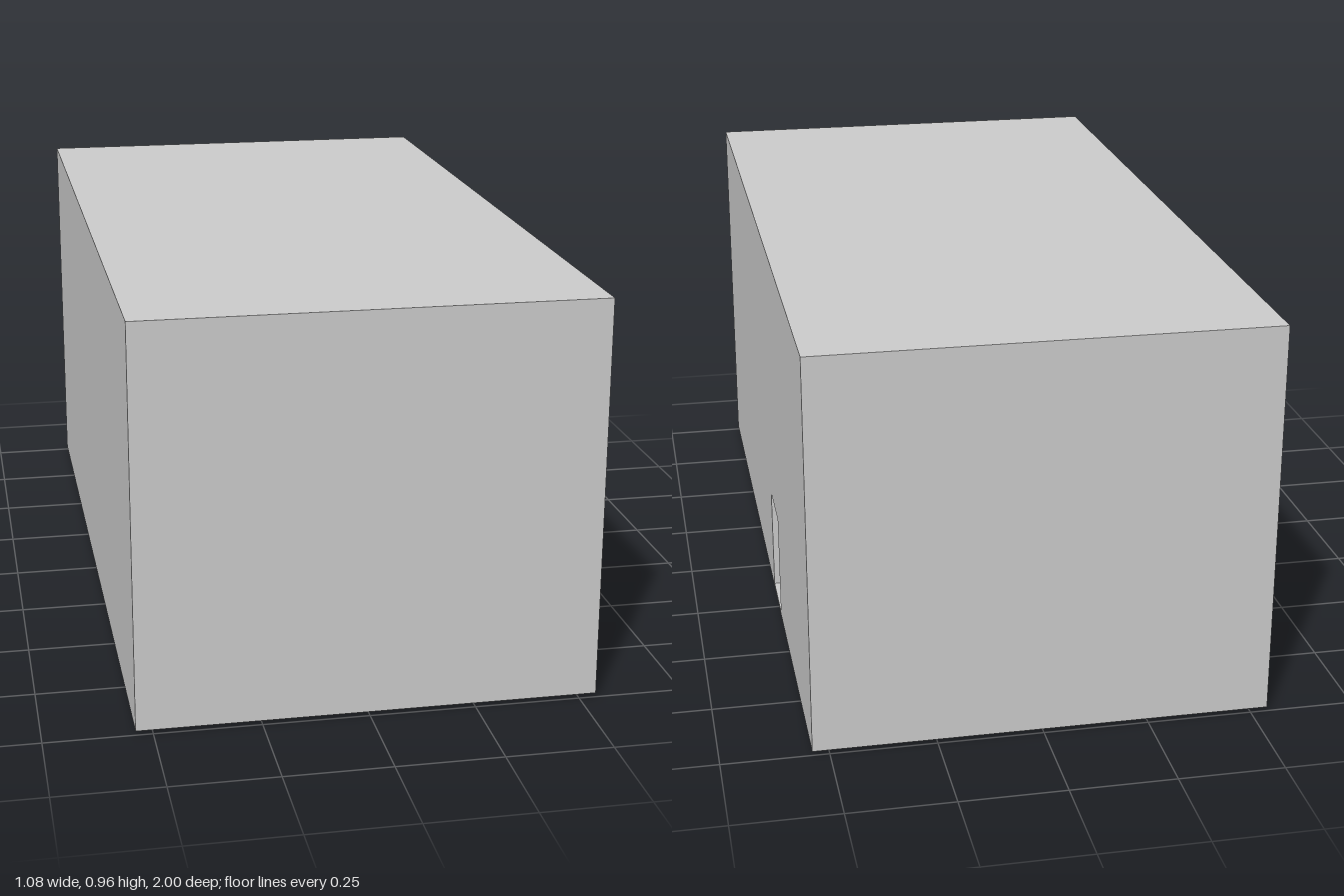
import * as THREE from 'three';

const W = 1.08, D = 2, T = 0.04;        // footprint and outer wall thickness
const BASE = 0.01, FLOOR = 0.018, ROOF = 0.955, TOP = 0.965;
const SLABS = [0.33, 0.645];            // undersides of the upper floors

export function createModel() {
  const group = new THREE.Group();
  const mat = new THREE.MeshStandardMaterial({ color: 0xcccccc });

  const add = (name, geo) => {
    const mesh = new THREE.Mesh(geo, mat);
    mesh.name = name;
    group.add(mesh);
    return mesh;
  };
  // Box given by its minimum and maximum on each axis
  const box = (name, x0, x1, y0, y1, z0, z1) => {
    const geo = new THREE.BoxGeometry(x1 - x0, y1 - y0, z1 - z0);
    geo.translate((x0 + x1) / 2, (y0 + y1) / 2, (z0 + z1) / 2);
    return add(name, geo);
  };

  const hx = W / 2, hz = D / 2;

  // Ground slab and roof slab
  box('groundSlab', -hx, hx, BASE, FLOOR, -hz, hz);
  box('roofSlab', -hx, hx, ROOF, TOP, -hz, hz);

  // Closed outer walls
  box('frontWall', -hx, hx, FLOOR, ROOF, hz - T, hz);
  box('backWall', -hx, hx, FLOOR, ROOF, -hz, -hz + T);
  box('blankSideWall', -hx, -hx + T, FLOOR, ROOF, -hz + T, hz - T);

  // Side wall with the entrance; shape x runs along -z
  const r = 0.01, d0 = 0.15, d1 = 0.315, dTop = 0.28, e = hz - T;
  const wall = new THREE.Shape();
  wall.moveTo(-e, FLOOR);
  wall.lineTo(d0, FLOOR);
  wall.lineTo(d0, dTop - r);
  wall.quadraticCurveTo(d0, dTop, d0 + r, dTop);
  wall.lineTo(d1 - r, dTop);
  wall.quadraticCurveTo(d1, dTop, d1, dTop - r);
  wall.lineTo(d1, FLOOR);
  wall.lineTo(e, FLOOR);
  wall.lineTo(e, ROOF);
  wall.lineTo(-e, ROOF);
  const wallGeo = new THREE.ExtrudeGeometry(wall, { depth: T, bevelEnabled: false, curveSegments: 5 });
  wallGeo.rotateY(Math.PI / 2);
  wallGeo.translate(hx - T, 0, 0);
  add('entranceWall', wallGeo);

  // Upper floors inside the shell
  for (const y of SLABS) box('upperFloor', -hx + T, hx - T, y, y + 0.012, -hz + T, hz - T);

  // Partitions for each storey; the lowest ones reach through the ground slab
  const px = 0.528, t = 0.01;
  const levels = [[0, SLABS[0]], [SLABS[0] + 0.012, SLABS[1]], [SLABS[1] + 0.012, ROOF]];
  for (const [y0, y1] of levels) {
    for (const s of [-1, 1]) {
      const z = s * 0.45;
      box('crossPartition', -px, px, y0, y1, z - t, z + t);
      const near = s * (0.45 + t), far = s * 0.93;
      box('lengthPartition', -t, t, y0, y1, Math.min(near, far), Math.max(near, far));
    }
    // Middle partition with a doorway
    const doorTop = Math.max(y0, BASE) + 0.25;
    box('middlePartition', -px, 0.295, y0, y1, -t, t);
    box('middlePartitionEnd', 0.44, px, y0, y1, -t, t);
    box('doorwayLintel', 0.295, 0.44, doorTop, y1, -t, t);
  }

  return group;
}
